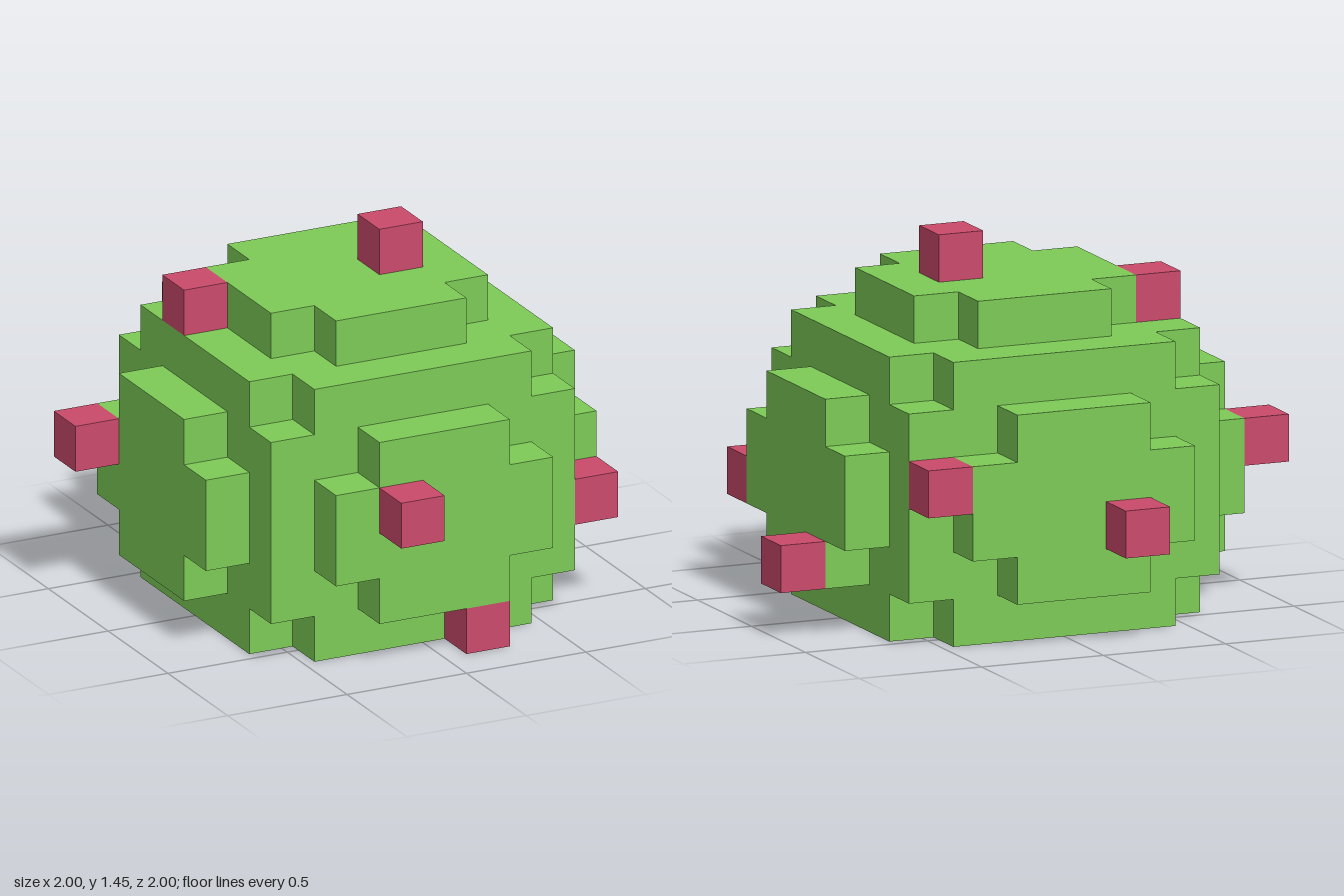
import * as THREE from 'three';

const U = 2 / 11; // size of one block

// Stepped outline, symmetric on both axes; rows[i] is the half width in blocks at distance i
function outline(rows) {
  const quarter = [];
  rows.forEach((w, i) => {
    const x = (w + 0.5) * U;
    if (w !== rows[i - 1]) quarter.push([x, i === 0 ? 0 : (i - 0.5) * U]);
    if (w !== rows[i + 1]) quarter.push([x, (i + 0.5) * U]);
  });
  quarter.shift(); // drop the point on the axis
  const flip = (sx, sy) => quarter.map(([x, y]) => new THREE.Vector2(x * sx, y * sy));
  return new THREE.Shape([
    ...flip(1, 1), ...flip(-1, 1).reverse(),
    ...flip(-1, -1), ...flip(1, -1).reverse(),
  ]);
}

export function createModel() {
  const model = new THREE.Group();
  model.name = 'blockyCactusBall';
  const green = new THREE.MeshStandardMaterial({ color: 0x7dcb57 });
  green.name = 'leafGreen';
  const pink = new THREE.MeshStandardMaterial({ color: 0xcb4a6b });
  pink.name = 'berryPink';

  // Round body as stacked slabs: first layer, layer count, half widths
  const slabs = [
    [0, 1, [3, 3, 3, 2]],
    [1, 1, [4, 4, 3, 3, 1]],
    [2, 2, [4, 4, 4, 3, 2]],
    [4, 1, [4, 4, 3, 3, 1]],
    [5, 1, [3, 3, 3, 2]],
    [6, 1, [2, 2, 1]],
  ];
  const body = new THREE.Group();
  body.name = 'body';
  slabs.forEach(([layer, count, rows], i) => {
    const geo = new THREE.ExtrudeGeometry(outline(rows), { depth: count * U, bevelEnabled: false });
    geo.rotateX(-Math.PI / 2);
    const slab = new THREE.Mesh(geo, green);
    slab.name = `bodySlab${i + 1}`;
    slab.position.y = layer * U;
    body.add(slab);
  });
  model.add(body);

  // Single-block buds: column x, layer y, row z
  const buds = [
    [1, 7, 0], [-3, 6, -1], [-5, 3, -2], [-1, 3, 5], [4, 2, 3],
    [5, 1, -1], [1, 0, 4], [3, 3, -4], [-1, 2, -5],
  ];
  const cube = new THREE.BoxGeometry(U, U, U);
  buds.forEach(([x, y, z], i) => {
    const bud = new THREE.Mesh(cube, pink);
    bud.name = `bud${i + 1}`;
    bud.position.set(x * U, (y + 0.5) * U, z * U);
    model.add(bud);
  });
  return model;
}
